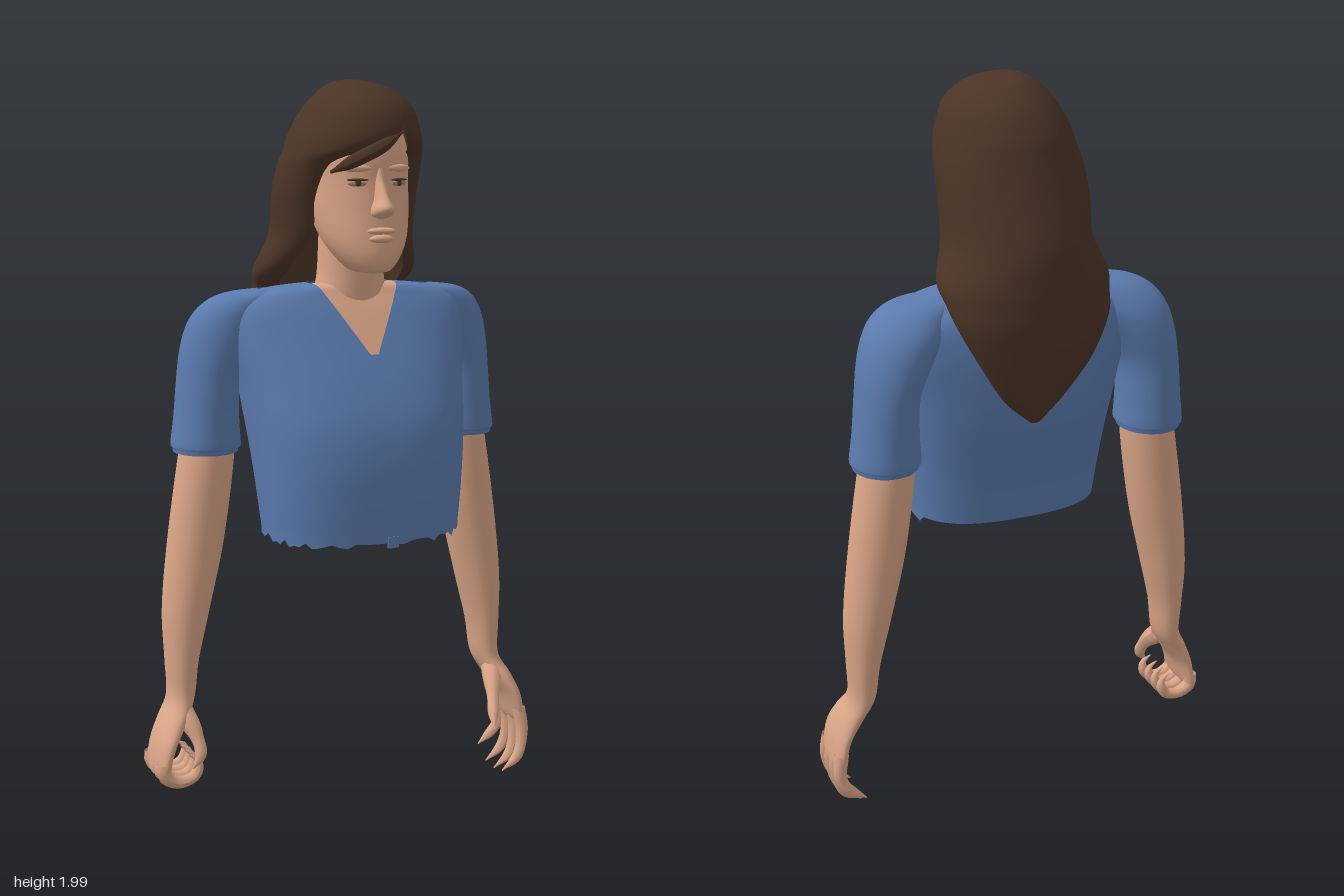
import * as THREE from 'three';

const mat = (name, color) => {
  const m = new THREE.MeshStandardMaterial({ color, side: THREE.DoubleSide });
  m.name = name;
  return m;
};

// Smoothly interpolated cross-section row at t in 0..1
function rowAt(rows, t) {
  const f = t * (rows.length - 1), i = Math.min(Math.floor(f), rows.length - 2), u = f - i;
  const r = k => rows[Math.max(0, Math.min(rows.length - 1, k))];
  return rows[i].map((b, c) => {
    const a = r(i - 1)[c], d = r(i + 1)[c], e = r(i + 2)[c];
    return b + 0.5 * u * (d - a + u * (2 * a - 5 * b + 4 * d - e + u * (3 * (b - d) + e - a)));
  });
}

function grid(rowsOfPoints, wrap) {
  const w = rowsOfPoints[0].length, pos = rowsOfPoints.flat(2), idx = [];
  for (let i = 0; i < rowsOfPoints.length - 1; i++)
    for (let j = 0; j < (wrap ? w : w - 1); j++) {
      const a = i * w + j, b = i * w + (j + 1) % w;
      idx.push(a, b, b + w, a, b + w, a + w);
    }
  const g = new THREE.BufferGeometry();
  g.setAttribute('position', new THREE.Float32BufferAttribute(pos, 3));
  g.setIndex(idx);
  g.computeVertexNormals();
  return g;
}

// Stacked horizontal sections, bottom to top: [y, centreX, radiusX, frontZ, backZ, (arcStart, arcEnd)]
function loft(rows, { n = 40, sub = 5, p = 2, edit = q => q } = {}) {
  const open = rows[0].length > 5, out = [], steps = (rows.length - 1) * sub;
  for (let i = 0; i <= steps; i++) {
    const [y, cx, rx, zf, zb, a0 = 0, a1 = 0] = rowAt(rows, i / steps);
    const zc = (zf + zb) / 2, rz = (zf - zb) / 2, ring = [];
    const tuck = 0.22 * Math.max(0, Math.min(1, a0 - a1));
    for (let j = 0; j < (open ? n + 1 : n); j++) {
      const a = a0 + (j / n) * (Math.PI * 2 + Math.min(a1, a0) - a0);
      const k = 1 - tuck * Math.abs(2 * j / n - 1) ** 8;
      const pw = v => Math.sign(v) * Math.abs(v) ** (2 / p) * k;
      ring.push(edit([cx + rx * pw(Math.sin(a)), y, zc + rz * pw(Math.cos(a))], i, j));
    }
    out.push(ring);
  }
  return grid(out, !open);
}

// Tube whose radius tapers along a curve
function taperTube(points, radii, seg = 16, radial = 10) {
  const curve = new THREE.CatmullRomCurve3(points.map(q => new THREE.Vector3(...q)));
  const g = new THREE.TubeGeometry(curve, seg, 1, radial), P = g.attributes.position, v = new THREE.Vector3();
  const rr = radii.map(r => [r]);
  for (let i = 0; i <= seg; i++) {
    const c = curve.getPointAt(i / seg), r = rowAt(rr, i / seg)[0];
    for (let j = 0; j <= radial; j++) {
      const k = i * (radial + 1) + j;
      v.fromBufferAttribute(P, k).sub(c).multiplyScalar(r).add(c);
      P.setXYZ(k, v.x, v.y, v.z);
    }
  }
  g.computeVertexNormals();
  return g;
}

export function createModel() {
  const group = new THREE.Group();
  const skin = mat('skin', 0xdba688), cloth = mat('blue cloth', 0x5b7bae);
  const brown = mat('brown hair', 0x4b3426), eyeMat = mat('eye', 0xa08474);
  const add = (name, geo, m, parent = group) => {
    const mesh = new THREE.Mesh(geo, m);
    mesh.name = name;
    parent.add(mesh);
    return mesh;
  };

  // Shirt body with a ragged front hem
  const P = 2.6;
  const torso = [
    [0.825, 0, 0.265, 0.262, -0.12], [0.92, 0, 0.275, 0.265, -0.135], [1.02, 0, 0.285, 0.262, -0.155],
    [1.12, 0, 0.297, 0.243, -0.175], [1.22, 0, 0.31, 0.2, -0.185], [1.32, 0, 0.33, 0.145, -0.185],
    [1.4, 0, 0.335, 0.1, -0.17], [1.44, 0, 0.3, 0.075, -0.14], [1.462, 0, 0.22, 0.062, -0.11],
    [1.472, 0, 0.11, 0.05, -0.08]];
  const ragged = ([x, y, z], i, j) =>
    [x, i === 0 && z > 0 ? y - 0.011 * (1 + Math.sin(j * 2.3) * Math.cos(j * 0.7)) : y, z];
  add('shirtBody', loft(torso, { n: 72, p: P, edit: ragged }), cloth);
  add('hemThread', new THREE.BoxGeometry(0.03, 0.03, 0.006).translate(0.01, 0.816, 0.262), cloth);

  // Bare chest inside the V neck, following the shirt surface
  const chest = [];
  for (let i = 0; i <= 30; i++) {
    const [y, , rx, zf, zb] = rowAt(torso, 0.525 + 0.475 * i / 30), line = [];
    const w = Math.min(rx * 0.96, 0.115 * Math.max(0, (y - 1.275) / 0.195));
    for (let j = 0; j <= 12; j++) {
      const x = w * (j / 6 - 1);
      line.push([x, y + 0.003, (zf + zb) / 2 + (zf - zb) / 2 * (1 - Math.abs(x / rx) ** P) ** (1 / P) + 0.005]);
    }
    chest.push(line);
  }
  add('chest', grid(chest, false), skin);
  add('neck', loft([[1.38, 0, 0.1, 0.085, -0.08], [1.44, 0, 0.102, 0.088, -0.08],
    [1.5, 0, 0.09, 0.092, -0.08], [1.6, 0, 0.085, 0.1, -0.08]]), skin);

  // Sleeves, arms and hands
  for (const s of [1, -1]) {
    const side = s > 0 ? 'left' : 'right';
    const flip = rows => rows.map(([y, x, ...r]) => [y, s * x, ...r]);
    add(side + 'Sleeve', loft(flip([
      [1.045, 0.382, 0.088, 0.012, -0.185], [1.05, 0.382, 0.093, 0.018, -0.19], [1.12, 0.379, 0.086, 0.017, -0.19],
      [1.22, 0.372, 0.083, 0.018, -0.19], [1.3, 0.35, 0.096, 0.025, -0.188], [1.37, 0.32, 0.108, 0.03, -0.175],
      [1.42, 0.29, 0.105, 0.03, -0.145], [1.45, 0.255, 0.085, 0.02, -0.11], [1.462, 0.22, 0.03, -0.01, -0.06]])), cloth);
    add(side + 'Cuff', loft(flip([[1.03, 0.383, 0.086, 0.008, -0.18], [1.06, 0.382, 0.09, 0.014, -0.186]])), cloth);
    add(side + 'Arm', loft(flip([
      [0.155, 0.548, 0.006, -0.01, -0.09], [0.17, 0.546, 0.02, 0.024, -0.128], [0.24, 0.53, 0.028, 0.03, -0.13],
      [0.3, 0.5, 0.036, 0.01, -0.13], [0.36, 0.47, 0.037, -0.02, -0.135], [0.46, 0.463, 0.045, -0.018, -0.146],
      [0.6, 0.447, 0.064, -0.012, -0.16], [0.8, 0.413, 0.077, -0.01, -0.165], [1.04, 0.378, 0.074, -0.01, -0.165],
      [1.15, 0.37, 0.06, -0.03, -0.15]]), { n: 28 }), skin);

    const hand = new THREE.Group();
    hand.name = side + 'Fingers';
    group.add(hand);
    // Open hand on the left, loosely closed hand on the right
    for (let f = 0; f < 4; f++) {
      const z0 = 0.008 - f * 0.039, z1 = 0.03 - f * 0.05, tip = [0.02, 0.01, 0.015, 0.05][f];
      const path = s > 0
        ? [[0.543, 0.2, z0], [0.55, 0.13, (z0 + z1) / 2], [0.53, 0.04 + tip, z1], [0.48, tip, z1]]
        : [[-0.545, 0.2, z0], [-0.545, 0.165, z0], [-0.505, 0.142, z0], [-0.46, 0.155, z0],
          [-0.45, 0.195, z0], [-0.475, 0.215, z0]];
      add('finger', taperTube(path, [0.02, 0.019, 0.016, 0.014, 0.002]), skin, hand);
    }
    add('thumb', taperTube(s > 0
      ? [[0.475, 0.32, -0.04], [0.45, 0.265, 0.02], [0.43, 0.22, 0.06], [0.413, 0.185, 0.1]]
      : [[-0.475, 0.32, -0.04], [-0.455, 0.27, 0.005], [-0.45, 0.22, 0.03], [-0.475, 0.185, 0.035]],
    [0.03, 0.026, 0.018, 0.016, 0.002]), skin, hand);
  }

  // Head and face
  add('head', loft([
    [1.508, 0, 0.01, 0.17, 0.13], [1.515, 0, 0.05, 0.198, 0.07], [1.55, 0, 0.085, 0.21, 0.02],
    [1.6, 0, 0.113, 0.208, -0.03], [1.67, 0, 0.13, 0.2, -0.09], [1.74, 0, 0.134, 0.195, -0.12],
    [1.82, 0, 0.133, 0.194, -0.13], [1.9, 0, 0.11, 0.14, -0.11], [1.94, 0, 0.03, 0.04, -0.03]]), skin);
  add('nose', loft([
    [1.648, 0, 0.008, 0.21, 0.17], [1.657, 0, 0.026, 0.236, 0.16], [1.675, 0, 0.027, 0.254, 0.16],
    [1.7, 0, 0.018, 0.236, 0.16], [1.74, 0, 0.014, 0.209, 0.16], [1.775, 0, 0.012, 0.198, 0.16]], { n: 20 }), skin);
  const blob = (name, m, x, y, z, a, b, c, ry = 0) => {
    const o = add(name, new THREE.SphereGeometry(1, 20, 12), m);
    o.scale.set(a, b, c);
    o.position.set(x, y, z);
    o.rotation.y = ry;
  };
  blob('upperLip', skin, 0, 1.618, 0.204, 0.04, 0.009, 0.017);
  blob('lowerLip', skin, 0, 1.598, 0.204, 0.034, 0.011, 0.016);
  for (const s of [1, -1]) {
    blob('eye', eyeMat, s * 0.058, 1.737, 0.182, 0.024, 0.008, 0.005, s * 0.35);
    blob('iris', brown, s * 0.057, 1.738, 0.186, 0.008, 0.008, 0.004, s * 0.35);
    blob('upperLash', brown, s * 0.058, 1.746, 0.184, 0.028, 0.0035, 0.006, s * 0.35);
    blob('brow', skin, s * 0.058, 1.775, 0.178, 0.04, 0.01, 0.012, s * 0.35);
  }

  // Long hair: a sheet open over the face and closing at an off-centre parting
  add('hair', loft([
    [1.135, 0.01, 0.012, -0.195, -0.207, 1.2, -1.2], [1.2, 0.01, 0.085, -0.165, -0.226, 1.2, -1.2],
    [1.3, 0, 0.16, -0.12, -0.25, 1.25, -1.25], [1.4, 0, 0.215, -0.05, -0.265, 1.3, -1.3],
    [1.46, 0.003, 0.232, 0.03, -0.267, 1.3, -1.3], [1.51, 0.003, 0.236, 0.1, -0.267, 1.15, -1.15],
    [1.6, 0.003, 0.2, 0.17, -0.26, 1.0, -1.0], [1.7, 0, 0.198, 0.19, -0.232, 0.92, -0.92],
    [1.78, 0.003, 0.191, 0.212, -0.21, 0.76, -0.72], [1.82, 0.007, 0.181, 0.222, -0.2, 0.6, -0.15],
    [1.87, 0.009, 0.166, 0.212, -0.185, 0.35, 0.3], [1.93, 0.015, 0.137, 0.185, -0.15, 0.35, 0.35],
    [1.975, 0.012, 0.09, 0.125, -0.1, 0.35, 0.35], [1.995, 0, 0.04, 0.06, -0.05, 0.35, 0.35],
    [2.0, 0, 0.001, 0.01, 0.008, 0.35, 0.35]], { n: 64, sub: 6 }), brown);
  // Fringe lock swept across the forehead
  add('fringe', taperTube([[0.06, 1.865, 0.195], [0, 1.83, 0.207], [-0.06, 1.8, 0.2], [-0.12, 1.765, 0.155]],
    [0.004, 0.016, 0.018, 0.016, 0.004]), brown);
  return group;
}
